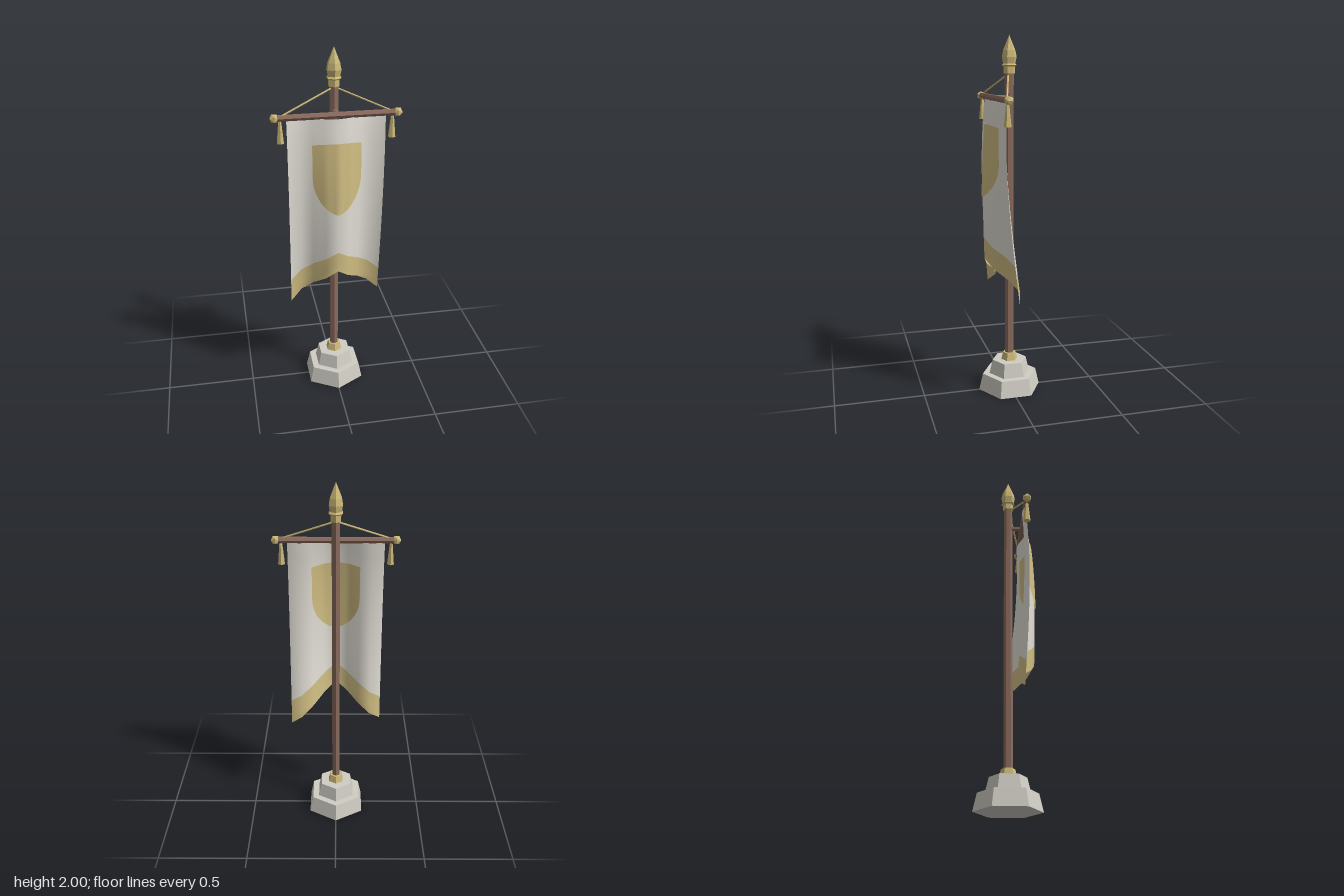
import * as THREE from 'three';

const flat = (g) => {
  const n = g.index ? g.toNonIndexed() : g;
  n.computeVertexNormals();
  return n;
};

// Cloth depth: folds deepen towards the hem, and the two sides swing apart
const TOP = 1.66, HALF = 0.257;
const fold = (u) => {
  const k = Math.min(3, Math.floor(Math.abs(u) * 4));
  const f = Math.abs(u) * 4 - k;
  const c = (i) => Math.cos((Math.PI * i) / 3);
  return c(k) * (1 - f) + c(k + 1) * f;
};
const clothZ = (u, y) => {
  const t = Math.max(0, (TOP - y) / 1.08);
  const bulge = 0.025 * Math.sin(Math.PI * Math.pow(t, 0.8));
  return 0.09 - 0.02 * t + bulge + (0.025 + 0.04 * t) * fold(u) - 0.03 * t * u;
};

// Grid of points from rule(i, j); rows run downward, columns along +x
function sheet(cols, rows, rule) {
  const pos = [], index = [];
  for (let j = 0; j <= rows; j++)
    for (let i = 0; i <= cols; i++) pos.push(...rule(i, j));
  for (let j = 0; j < rows; j++)
    for (let i = 0; i < cols; i++) {
      const a = j * (cols + 1) + i, b = a + cols + 1;
      index.push(a, b, a + 1, b, b + 1, a + 1);
    }
  const g = new THREE.BufferGeometry();
  g.setAttribute('position', new THREE.Float32BufferAttribute(pos, 3));
  g.setIndex(index);
  g.computeVertexNormals();
  return g;
}

export function createModel() {
  const mat = (name, color, extra = {}) =>
    Object.assign(new THREE.MeshStandardMaterial({ color, ...extra }), { name });
  const stone = mat('stone', 0xd0cdc4);
  const wood = mat('wood', 0x8c6c5e);
  const gold = mat('gold', 0xcdb978);
  const cloth = mat('cloth', 0xe6e2d9, { side: THREE.DoubleSide });
  const goldCloth = mat('goldCloth', 0xd4c185, { side: THREE.DoubleSide });

  const model = new THREE.Group();
  model.name = 'bannerStand';
  const add = (name, geometry, material, x = 0, y = 0, z = 0) => {
    const m = new THREE.Mesh(geometry, material);
    m.name = name;
    m.position.set(x, y, z);
    model.add(m);
    return m;
  };
  // Six-sided tapered post between two heights
  const post = (name, rTop, rBottom, y0, y1, material, x = 0, z = 0) =>
    add(name, flat(new THREE.CylinderGeometry(rTop, rBottom, y1 - y0, 6)), material, x, (y0 + y1) / 2, z);
  // Six-sided rod between two points
  const rod = (name, r, a, b, material) => {
    const dir = b.clone().sub(a);
    const m = add(name, flat(new THREE.CylinderGeometry(r, r, dir.length(), 6)), material);
    m.position.copy(a).add(b).multiplyScalar(0.5);
    m.quaternion.setFromUnitVectors(new THREE.Vector3(0, 1, 0), dir.normalize());
    return m;
  };
  const V = (x, y, z) => new THREE.Vector3(x, y, z);

  // Stepped base and pole
  post('lowerBase', 0.158, 0.18, 0, 0.095, stone);
  post('upperBase', 0.099, 0.118, 0.095, 0.175, stone);
  post('baseCollar', 0.037, 0.048, 0.175, 0.217, gold);
  post('pole', 0.025, 0.025, 0.2, 1.82, wood);

  // Spear finial
  const spear = [[0, 1.8], [0.031, 1.8], [0.031, 1.835], [0.042, 1.843], [0.034, 1.852],
    [0.041, 1.885], [0.034, 1.92], [0, 2]].map(([r, y]) => new THREE.Vector2(r, y));
  add('finial', flat(new THREE.LatheGeometry(spear, 6)), gold);

  // Crossbar and its bracket
  const BY = 1.672, BZ = 0.084;
  rod('crossbar', 0.017, V(-0.31, BY, BZ), V(0.31, BY, BZ), wood);
  rod('bracket', 0.014, V(0, BY, 0), V(0, BY, BZ), wood);

  // Knobs, cords and tassels on both ends
  for (const s of [-1, 1]) {
    add('knob', flat(new THREE.IcosahedronGeometry(0.026, 0)), gold, s * 0.318, BY, BZ);
    rod('cord', 0.005, V(s * 0.278, BY + 0.012, BZ), V(0, 1.797, 0.006), gold);
    post('tasselString', 0.004, 0.004, 1.64, 1.665, gold, s * 0.29, BZ);
    post('tassel', 0.009, 0.02, 1.54, 1.65, gold, s * 0.29, BZ);
  }

  // Swallow-tailed banner: cloth rows, then hem rows in the second material
  const COLS = 8, MAIN = 12, HEM = 3;
  const banner = sheet(COLS, MAIN + HEM, (i, j) => {
    const u = (i / COLS) * 2 - 1, a = Math.abs(u);
    const hemTop = 0.91 - 0.19 * a, hemEnd = 0.79 - 0.21 * a;
    const y = j <= MAIN
      ? TOP + (hemTop - TOP) * (j / MAIN)
      : hemTop + (hemEnd - hemTop) * ((j - MAIN) / HEM);
    return [u * HALF, y, clothZ(u, y)];
  });
  banner.addGroup(0, COLS * MAIN * 6, 0);
  banner.addGroup(COLS * MAIN * 6, COLS * HEM * 6, 1);
  add('banner', banner, [cloth, goldCloth]);

  // Shield emblem following the cloth on both faces
  for (const [name, off] of [['frontShield', 0.007], ['backShield', -0.007]]) {
    const shield = sheet(24, 10, (i, j) => {
      const s = Math.sin(((i / 24) * 2 - 1) * Math.PI / 2), a = Math.abs(s);
      const top = 1.535 - 0.014 * a * a;
      const low = 1.14 + 0.2 * (1 - Math.sqrt(Math.max(0, 1 - Math.pow(a, 1.6))));
      const y = top + (low - top) * (j / 10), x = s * 0.13;
      return [x, y, clothZ(x / HALF, y) + off];
    });
    add(name, shield, goldCloth);
  }
  return model;
}
